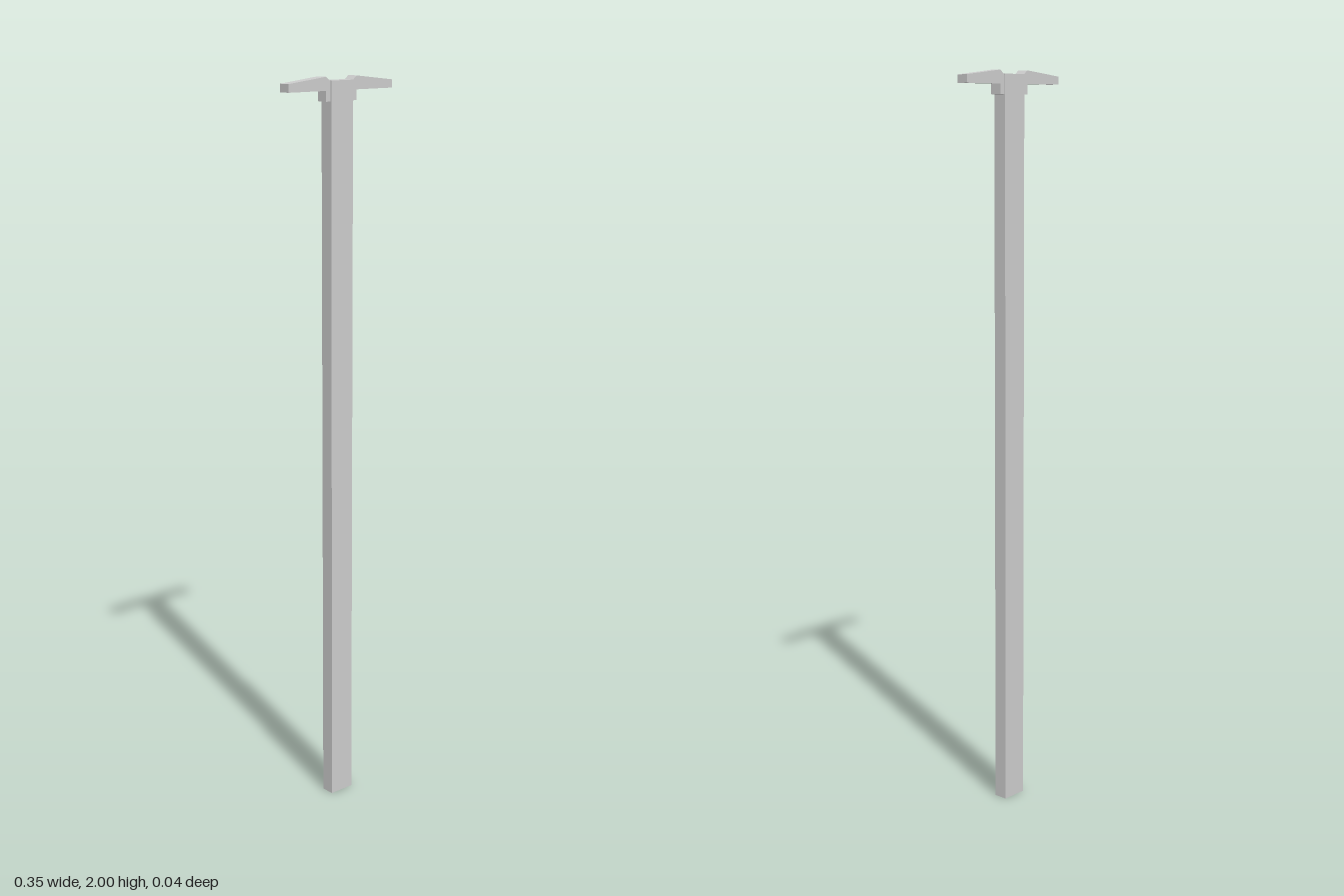
import * as THREE from 'three';

const material = new THREE.MeshStandardMaterial({ color: 0xcccccc, flatShading: true });

// Side profile of one arm with its small bracket, extruded along z
function armGeometry(depth) {
  const points = [
    [0.03, 1.938], [0.052, 1.938], [0.052, 1.965], [0.176, 1.965],
    [0.176, 1.986], [0.052, 2.0], [0.037, 1.988], [0.03, 1.988],
  ];
  const shape = new THREE.Shape(points.map(([x, y]) => new THREE.Vector2(x, y)));
  const geometry = new THREE.ExtrudeGeometry(shape, { depth, bevelEnabled: false });
  return geometry.translate(0, 0, -depth / 2);
}

export function createModel() {
  const model = new THREE.Group();
  model.name = 'tPost';

  // Tall rectangular post
  const height = 1.99;
  const post = new THREE.Mesh(new THREE.BoxGeometry(0.074, height, 0.038), material);
  post.position.y = height / 2;
  post.name = 'post';
  model.add(post);

  // Tapered arms, one turned half round to face the other side
  for (const [name, angle] of [['leftArm', 0], ['rightArm', Math.PI]]) {
    const arm = new THREE.Mesh(armGeometry(0.032), material);
    arm.rotation.y = angle;
    arm.name = name;
    model.add(arm);
  }
  return model;
}
